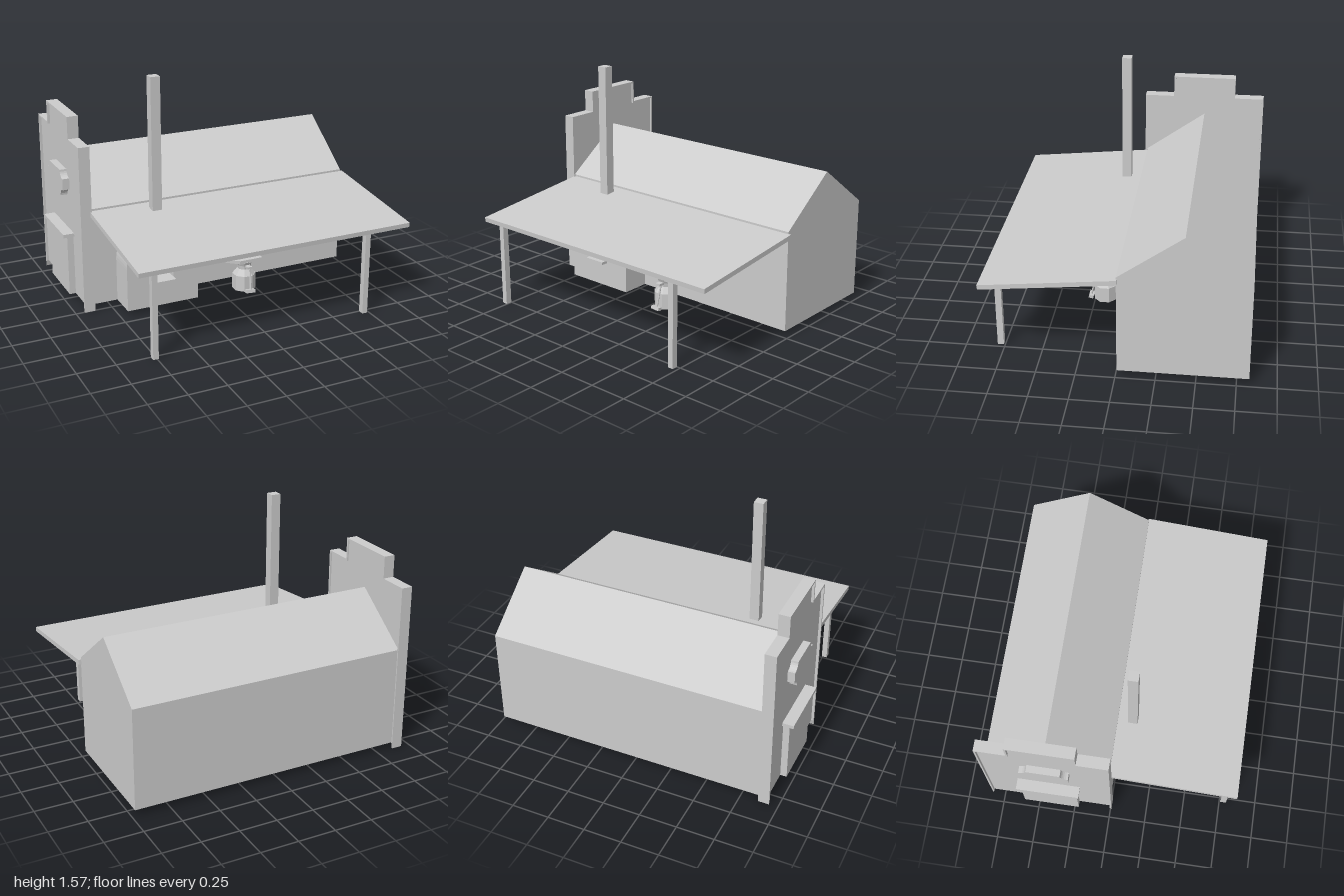
import * as THREE from 'three';

export function createModel() {
  const group = new THREE.Group();
  const stone = new THREE.MeshStandardMaterial({ color: 0xcccccc });
  stone.name = 'plain grey';

  const add = (name, geometry, parent = group) => {
    const mesh = new THREE.Mesh(geometry, stone);
    mesh.name = name;
    parent.add(mesh);
    return mesh;
  };
  // Box from its minimum and maximum on each axis
  const box = (name, x0, x1, y0, y1, z0, z1, parent) =>
    add(name, new THREE.BoxGeometry(x1 - x0, y1 - y0, z1 - z0)
      .translate((x0 + x1) / 2, (y0 + y1) / 2, (z0 + z1) / 2), parent);
  // Profile of [z, y] points extruded along x
  const alongX = (name, points, x0, x1, parent) => {
    const shape = new THREE.Shape(points.map(([z, y]) => new THREE.Vector2(-z, y)));
    const g = new THREE.ExtrudeGeometry(shape, { depth: x1 - x0, bevelEnabled: false });
    return add(name, g.rotateY(Math.PI / 2).translate(x0, 0, 0), parent);
  };
  // Round-topped arch outline
  const arch = (path, cx, r, y0, ySpring) => {
    path.moveTo(cx - r, y0);
    path.lineTo(cx + r, y0);
    path.lineTo(cx + r, ySpring);
    path.absarc(cx, ySpring, r, 0, Math.PI, false);
    path.lineTo(cx - r, y0);
    return path;
  };
  const flat = (geometry) => {
    const g = geometry.index ? geometry.toNonIndexed() : geometry;
    g.computeVertexNormals();
    return g;
  };

  // Gabled house
  alongX('house', [[-0.008, 0.047], [-0.008, 0.715], [-0.418, 1.01], [-0.828, 0.715], [-0.828, 0.047]], -0.875, 0.98);

  // Stepped false front: recessed panel with a wide rim, whose legs end in slanted cuts
  const zc = -0.415;
  const steps = (inset) => {
    const a = 0.422 - inset, b = 0.218 - inset, y1 = 1.14 - inset, y2 = 1.288 - inset;
    return [[zc + a, y1], [zc + b, y1], [zc + b, y2], [zc - b, y2], [zc - b, y1], [zc - a, y1]];
  };
  const rim = 0.012;
  const foot = 0.422 - rim;
  alongX('facadePanel', [[zc + foot, 0.047], ...steps(rim), [zc - foot, 0.047]], -0.925, -0.878);
  alongX('facadeRim', [
    [zc + 0.422, 0.005], ...steps(0), [zc - 0.422, 0.005],
    [zc - foot, 0.047], ...steps(rim).reverse(), [zc + foot, 0.047],
  ], -0.942, -0.867);

  // Door with lintel, and plaque with scooped corners
  box('door', -0.968, -0.92, 0.047, 0.468, -0.6, -0.22);
  box('doorLintel', -1, -0.92, 0.465, 0.488, -0.62, -0.2);
  const plaque = [];
  const hw = 0.16, hh = 0.088, r = 0.05;
  [[1, 1], [-1, 1], [-1, -1], [1, -1]].forEach(([sx, sy], i) => {
    for (let k = 0; k <= 6; k++) {
      const a = Math.PI * (1.5 + i * 0.5) - (k / 6) * Math.PI / 2;
      plaque.push([zc + sx * hw + r * Math.cos(a), 0.816 + sy * hh + r * Math.sin(a)]);
    }
  });
  alongX('wallPlaque', plaque, -0.972, -0.92);

  // Lean-to roof and its posts
  alongX('leanToRoof', [[0.835, 0.582], [0.838, 0.613], [-0.012, 0.702], [-0.015, 0.67]], -0.876, 0.997);
  for (const x of [-0.762, 0.713]) box('roofPost', x - 0.018, x + 0.018, 0.01, 0.592, 0.757, 0.798);

  // Forge with arched fire opening, ledge and chimney
  const forge = new THREE.Group();
  forge.name = 'forge';
  group.add(forge);
  const face = arch(new THREE.Shape(), -0.457, 0.25, 0.047, 0.338);
  face.holes.push(arch(new THREE.Path(), -0.46, 0.075, 0.215, 0.32));
  add('forgeBody', new THREE.ExtrudeGeometry(face, { depth: 0.198, bevelEnabled: false, curveSegments: 20 })
    .translate(0, 0, -0.01), forge);
  box('forgeLedge', -0.535, -0.385, 0.215, 0.234, 0.1, 0.235, forge);
  box('chimney', -0.495, -0.43, 0.58, 1.573, 0.06, 0.124, forge);

  // Anvil on its block
  const anvil = new THREE.Group();
  anvil.name = 'anvil';
  anvil.position.set(0.14, 0, 0.172);
  group.add(anvil);
  const oct = (radius) => radius / Math.cos(Math.PI / 8);
  add('anvilBlock', flat(new THREE.CylinderGeometry(oct(0.073), oct(0.073), 0.108, 8)
    .rotateY(Math.PI / 8).translate(0, 0.101, 0)), anvil);
  const neck = [[0, 0.155], [0.07, 0.155], [0.042, 0.195], [0.045, 0.22], [0.056, 0.248], [0, 0.248]];
  add('anvilNeck', flat(new THREE.LatheGeometry(
    neck.map(([x, y]) => new THREE.Vector2(oct(x), y)), 8).rotateY(Math.PI / 8)), anvil);
  box('anvilTop', -0.055, 0.112, 0.242, 0.267, -0.046, 0.052, anvil);
  // Horn: a box narrowed towards its outer end
  const horn = new THREE.BoxGeometry(0.085, 0.025, 0.08);
  const p = horn.attributes.position;
  for (let i = 0; i < p.count; i++) {
    if (p.getX(i) < 0) p.setXYZ(i, p.getX(i), p.getY(i) > 0 ? 0.0125 : 0.002, p.getZ(i) * 0.2);
  }
  add('anvilHorn', flat(horn.translate(-0.0975, 0.2545, 0.003)), anvil);

  // Hammer leaning on the anvil
  const hammer = new THREE.Group();
  hammer.name = 'hammer';
  hammer.position.set(0.143, 0.058, 0.27);
  hammer.rotation.set(-0.2, 0, -0.06);
  group.add(hammer);
  add('hammerHandle', new THREE.CylinderGeometry(0.006, 0.006, 0.175, 8).translate(0, 0.088, 0), hammer);
  box('hammerHead', -0.035, 0.028, -0.01, 0.012, -0.016, 0.016, hammer);
  box('hammerHook', 0.125, 0.16, 0.213, 0.228, 0.2, 0.258);

  return group;
}
